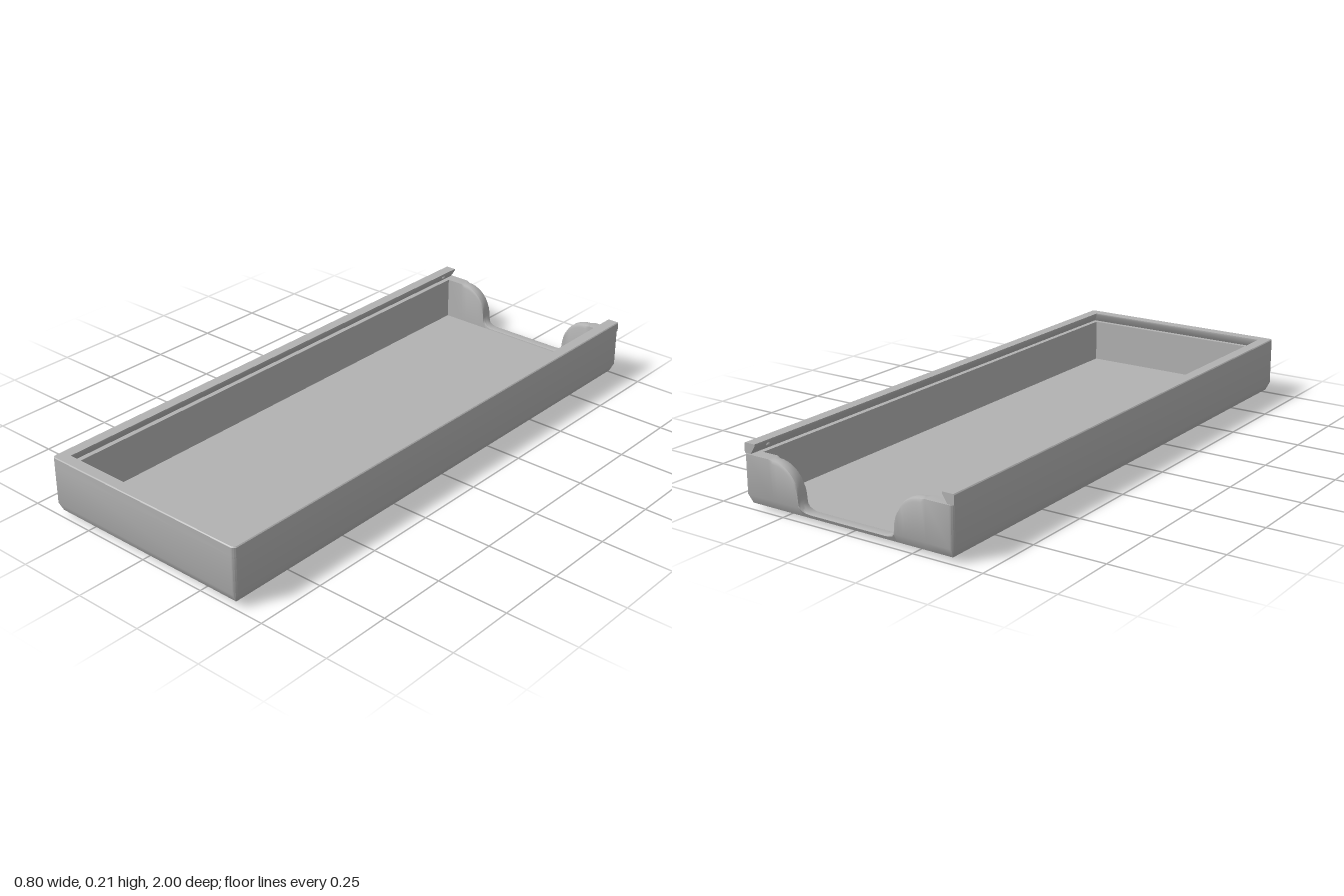
import * as THREE from 'three';
import { toCreasedNormals } from 'three/addons/utils/BufferGeometryUtils.js';

const HW = 0.4, HD = 1, R = 0.015;            // half width, half depth, corner radius
const WALL = 0.042, FLOOR = 0.025, SHELF = 0.178, TOP = 0.212;
const lerp = THREE.MathUtils.lerp;

// Arc around one vertical corner; an inset larger than the radius gives a sharp mitre.
function corner(sx, sz, from) {
  return Array.from({ length: 5 }, (_, i) => {
    const a = from + (i / 4) * Math.PI / 2;
    return (d) => {
      const r = Math.max(R - d, 0), m = Math.max(R, d);
      return [sx * (HW - m) + r * Math.cos(a), sz * (HD - m) + r * Math.sin(a)];
    };
  });
}

// Skin a grid of points: rows[k][i] = [x, y, z]
function skin(rows, closed) {
  const n = rows[0].length, index = [];
  for (let k = 0; k < rows.length - 1; k++) {
    for (let i = 0; i < (closed ? n : n - 1); i++) {
      const j = (i + 1) % n;
      const a = k * n + i, b = a + n, c = b - i + j, d = k * n + j;
      index.push(a, b, c, a, c, d);
    }
  }
  const g = new THREE.BufferGeometry();
  g.setAttribute('position', new THREE.Float32BufferAttribute(rows.flat(2), 3));
  g.setIndex(index);
  return toCreasedNormals(g, 0.6);
}

// Right half of the finger scoop in the back wall, as [x, height, edge rounding]
function scoopHalf() {
  const pts = [[0.05, 0.03], [0.14, 0.03]];
  for (let i = 1; i <= 6; i++) {
    const t = (i / 6) * Math.PI / 2;
    pts.push([0.14 + 0.045 * Math.sin(t), 0.08 - 0.05 * Math.cos(t)]);
  }
  for (let i = 1; i <= 10; i++) {
    const t = (i / 10) * Math.PI / 2;
    pts.push([0.285 - 0.1 * Math.cos(t), 0.08 + (SHELF - 0.08) * Math.sin(t)]);
  }
  const out = pts.map(([x, h]) => [x, h, Math.min(0.014, (h - FLOOR) * 0.6)]);
  out.push([0.3, SHELF, 0]);
  return out;
}

// Closed tray wall with bevelled foot and scooped back
function trayGeometry() {
  const half = scoopHalf();
  const back = [...half.map(([x, h, r]) => [-x, h, r]).reverse(), ...half];
  const stations = back.map(([x, h, r]) => ({ at: (d) => [x, -HD + d], h, r }));
  const P = Math.PI;
  for (const at of [...corner(1, -1, -P / 2), ...corner(1, 1, 0),
    ...corner(-1, 1, P / 2), ...corner(-1, -1, P)]) stations.push({ at, h: SHELF, r: 0 });

  const bevel = (y) => lerp(0.015, 0, Math.min(1, Math.max(0, (y - 0.015) / 0.03)));
  const profile = (h, r) => {
    const s = h - r, o = bevel(s), low = Math.min(0.045, s);
    return [[0.045, 0], [0.015, 0.015], [bevel(low), low], [o, s],
      [o + 0.3 * r, h - 0.3 * r], [o + r, h], [WALL - r, h],
      [WALL - 0.3 * r, h - 0.3 * r], [WALL, s], [WALL, FLOOR]];
  };
  const columns = stations.map(({ at, h, r }) => profile(h, r).map(([d, y]) => {
    const [x, z] = at(d);
    return [x, y, z];
  }));
  return skin(columns[0].map((_, k) => columns.map((c) => c[k])), true);
}

// Undercut lip that guides a sliding lid along three sides
const LIP = [[0, SHELF], [0, TOP - 0.003], [0.003, TOP], [WALL, TOP],
  [WALL, TOP - 0.006], [0.024, SHELF]];
const LIP_END = -0.995;

function lipGeometry() {
  const path = [(d) => [HW - d, LIP_END], ...corner(1, 1, 0),
    ...corner(-1, 1, Math.PI / 2), (d) => [-HW + d, LIP_END]];
  return skin(LIP.map(([d, y]) => path.map((at) => {
    const [x, z] = at(d);
    return [x, y, z];
  })), false);
}

export function createModel() {
  const model = new THREE.Group();
  const grey = new THREE.MeshStandardMaterial({ color: 0xb2b2b2 });
  grey.name = 'plain grey';
  const add = (name, geometry, x = 0, y = 0, z = 0) => {
    const mesh = new THREE.Mesh(geometry, grey);
    mesh.name = name;
    mesh.position.set(x, y, z);
    model.add(mesh);
  };

  add('trayWalls', trayGeometry());
  add('lidRail', lipGeometry());
  add('trayFloor', new THREE.PlaneGeometry(2 * (HW - WALL), 2 * (HD - WALL)).rotateX(-Math.PI / 2), 0, FLOOR, 0);

  // Rail end faces and the little lid catches
  for (const s of [-1, 1]) {
    const end = new THREE.Shape(LIP.map(([d, y]) => new THREE.Vector2(s * (HW - d), y)));
    add('railEnd', new THREE.ShapeGeometry(end).rotateY(Math.PI), 0, 0, LIP_END);
    add('lidCatch', new THREE.SphereGeometry(0.008, 12, 8), s * 0.366, 0.195, -0.93);
  }

  // Underside with four groups of small pyramid pockets
  const bx = HW - 0.045, bz = HD - 0.045, q = 0.024;
  const rect = (Type, x, y, w, h) => new Type([[-w, -h], [w, -h], [w, h], [-w, h]]
    .map(([u, v]) => new THREE.Vector2(x + u, y + v)));
  const underside = rect(THREE.Shape, 0, 0, bx, bz);
  const pocket = new THREE.CylinderGeometry(q * Math.SQRT2, 0, 0.015, 4, 1, true)
    .rotateY(Math.PI / 4).scale(1, -1, 1).toNonIndexed();
  pocket.computeVertexNormals();
  for (const sx of [-1, 1]) for (const sz of [-1, 1])
    for (const i of [-1, 1]) for (const j of [-1, 1]) {
      const x = sx * 0.3 + i * 0.0265, z = sz * 0.88 + j * 0.0265;
      underside.holes.push(rect(THREE.Path, x, z, q, q));
      add('footPocket', pocket, x, 0.0075, z);
    }
  add('underside', new THREE.ShapeGeometry(underside).rotateX(Math.PI / 2));
  return model;
}
